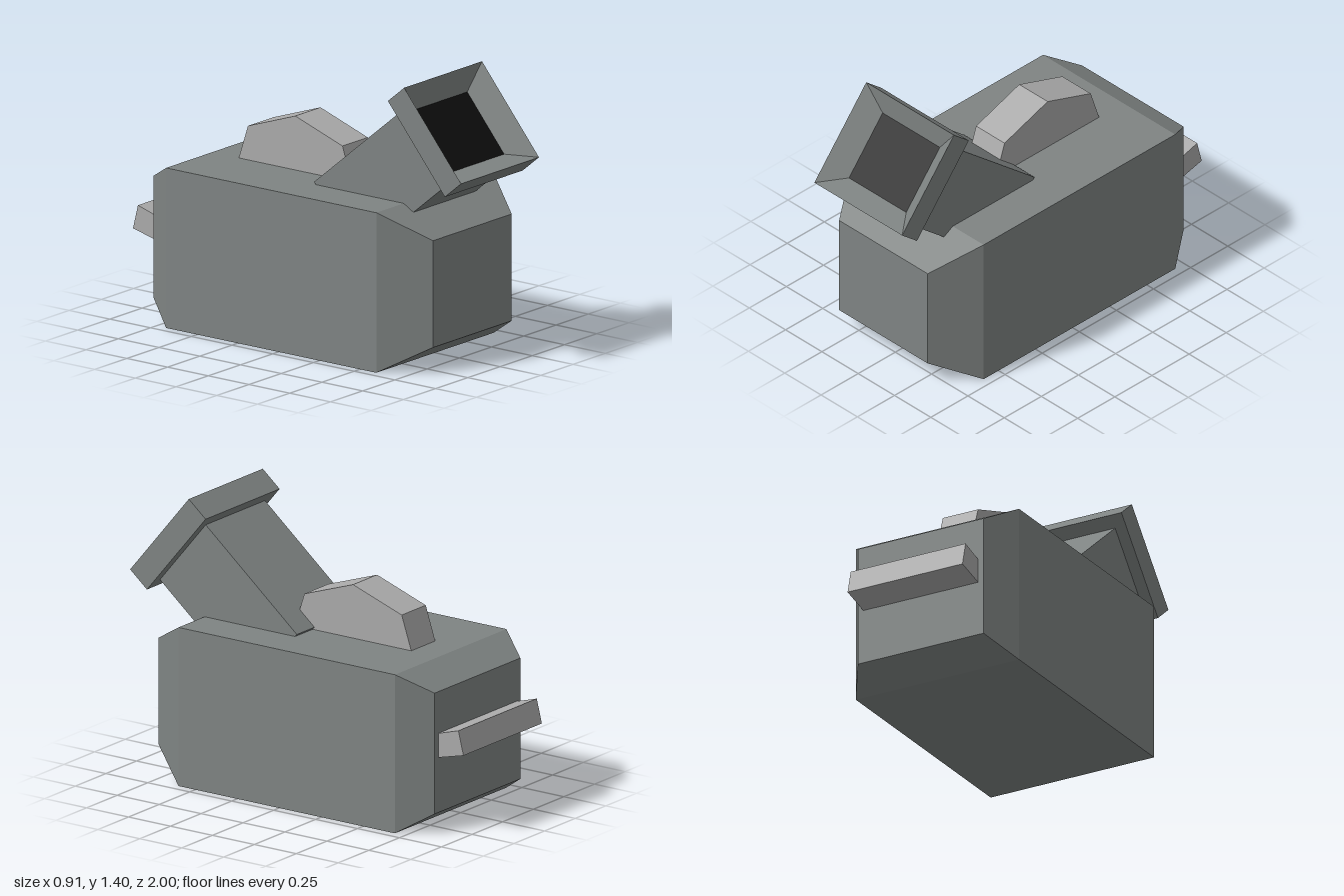
import * as THREE from 'three';

const paint = (name, color) => {
  const m = new THREE.MeshStandardMaterial({ color });
  m.name = name;
  return m;
};

// Flat-faced loft through rectangles [halfWidth, bottom, top, z], from back to front
function loft(sections, capEnd = true) {
  const pos = [];
  const quad = (a, b, c, d) => pos.push(...a, ...b, ...c, ...a, ...c, ...d);
  const rings = sections.map(([w, y0, y1, z]) => [[-w, y0, z], [w, y0, z], [w, y1, z], [-w, y1, z]]);
  for (let s = 0; s < rings.length - 1; s++) {
    const a = rings[s], b = rings[s + 1];
    for (let i = 0; i < 4; i++) {
      const j = (i + 1) % 4;
      quad(a[i], a[j], b[j], b[i]);
    }
  }
  const [p, q, r, t] = rings[0];
  quad(t, r, q, p);
  if (capEnd) quad(...rings[rings.length - 1]);
  const g = new THREE.BufferGeometry();
  g.setAttribute('position', new THREE.Float32BufferAttribute(pos, 3));
  g.computeVertexNormals();
  return g;
}

// Side profile of [z, y] points, extruded across x
function slab(points, halfWidth) {
  const shape = new THREE.Shape(points.map(([z, y]) => new THREE.Vector2(z, y)));
  const g = new THREE.ExtrudeGeometry(shape, { depth: halfWidth * 2, bevelEnabled: false });
  return g.translate(0, 0, -halfWidth).rotateY(-Math.PI / 2);
}

export function createModel() {
  const darkGrey = paint('dark grey metal', 0x7f8483);
  const lightGrey = paint('light grey metal', 0xababab);
  const black = paint('black opening', 0x0e0e0e);

  const model = new THREE.Group();
  model.name = 'model';
  const add = (name, geometry, material, parent = model) => {
    const mesh = new THREE.Mesh(geometry, material);
    mesh.name = name;
    parent.add(mesh);
    return mesh;
  };

  // Housing with tapered ends
  add('housing', loft([
    [0.35, 0.1, 0.71, -0.85],
    [0.455, 0, 0.8, -0.69],
    [0.455, 0, 0.8, 0.6],
    [0.305, 0.133, 0.667, 0.83],
  ]), darkGrey);

  // Tilted chute: local +z points out of the mouth
  const chute = new THREE.Group();
  chute.name = 'chute';
  chute.position.set(0, 1.19, 0.825);
  chute.rotation.x = -0.695;
  model.add(chute);
  add('chuteNeck', loft([[0.242, -0.22, 0.206, -0.837], [0.242, -0.22, 0.206, -0.11]]), darkGrey, chute);
  add('chuteRim', loft([
    [0.302, -0.273, 0.273, -0.13],
    [0.302, -0.273, 0.273, 0],
    [0.197, -0.177, 0.177, -0.09],
  ], false), darkGrey, chute);
  add('chuteOpening', new THREE.PlaneGeometry(0.394, 0.354), black, chute).position.z = -0.09;

  // Ridge on the top
  add('topRidge', slab([
    [-0.53, 0.79], [0.17, 0.79], [0.11, 0.97], [-0.18, 1.07], [-0.47, 0.97],
  ], 0.098), lightGrey);

  // Tilted bar across the back
  add('rearBar', slab([
    [-0.8, 0.365], [-0.8, 0.485], [-0.97, 0.535], [-1, 0.415],
  ], 0.32), lightGrey);

  return model;
}
